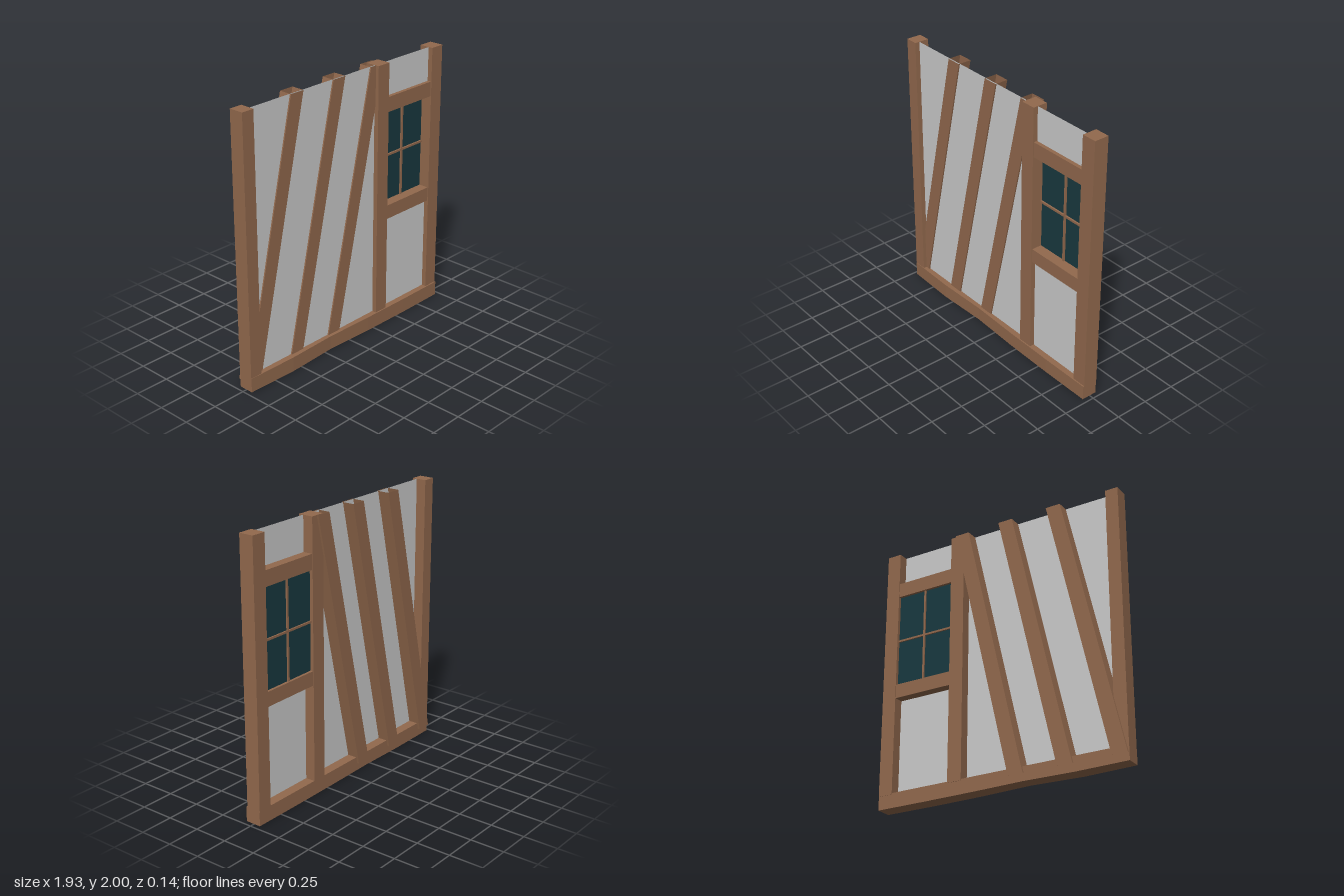
import * as THREE from 'three';

const wood = new THREE.MeshStandardMaterial({ color: 0x92694d, flatShading: true });
const woodOpen = new THREE.MeshStandardMaterial({ color: 0x92694d, flatShading: true, side: THREE.DoubleSide });
const plaster = new THREE.MeshStandardMaterial({ color: 0xcccccc, side: THREE.DoubleSide });
const glass = new THREE.MeshStandardMaterial({ color: 0x193940, side: THREE.DoubleSide });

export function createModel() {
  const group = new THREE.Group();

  const add = (name, geometry, material) => {
    const mesh = new THREE.Mesh(geometry, material);
    mesh.name = name;
    group.add(mesh);
    return mesh;
  };

  // Beam given by its extents on each axis
  const beam = (name, x0, x1, y0, y1, z0, z1) =>
    add(name, new THREE.BoxGeometry(x1 - x0, y1 - y0, z1 - z0), wood)
      .position.set((x0 + x1) / 2, (y0 + y1) / 2, (z0 + z1) / 2);

  // Flat sheet facing the front
  const sheet = (name, x0, x1, y0, y1, z, material) =>
    add(name, new THREE.PlaneGeometry(x1 - x0, y1 - y0), material)
      .position.set((x0 + x1) / 2, (y0 + y1) / 2, z);

  // Upright posts
  beam('leftEndPost', -0.97, -0.875, 0.1, 2, -0.055, 0.055);
  beam('middlePost', 0.285, 0.395, 0.1, 2, -0.055, 0.055);
  beam('rightEndPost', 0.855, 0.965, 0.1, 2, -0.055, 0.055);

  // Ground sill with a slightly uneven, hand-hewn front and underside
  const sillGeometry = new THREE.BoxGeometry(1.935, 0.105, 0.11, 5, 1, 1);
  const p = sillGeometry.attributes.position;
  const bow = [0.0, 0.008, -0.004, 0.006, 0.009, 0.007];
  for (let i = 0; i < p.count; i++) {
    const k = Math.round((p.getX(i) / 1.935 + 0.5) * 5);
    if (p.getZ(i) > 0) p.setZ(i, p.getZ(i) + bow[k]);
    if (p.getY(i) < 0) p.setY(i, p.getY(i) - bow[k] * 0.5);
  }
  add('sill', sillGeometry, wood).position.set(-0.0025, 0.0575, 0.002);

  // Window rails
  beam('upperRail', 0.39, 0.86, 1.64, 1.75, -0.05, 0.048);
  beam('lowerRail', 0.39, 0.86, 0.825, 0.93, -0.05, 0.048);

  // Slanted braces: hollow square tubes with level-cut open ends
  const y0 = 0.06, y1 = 2, lean = 0.2275;
  for (const topX of [-0.468, -0.075, 0.293]) {
    const g = new THREE.CylinderGeometry(Math.SQRT1_2, Math.SQRT1_2, y1 - y0, 4, 1, true);
    g.rotateY(Math.PI / 4);
    g.scale(0.113, 1, 0.1);
    g.applyMatrix4(new THREE.Matrix4().set(
      1, lean, 0, 0,
      0, 1, 0, 0,
      0, 0, 1, 0,
      0, 0, 0, 1));
    add('brace', g, woodOpen)
      .position.set(topX - lean * (y1 - y0) / 2, (y0 + y1) / 2, -0.02);
  }

  // Infill panels around the window
  sheet('wideInfill', -0.88, 0.29, 0.1, 2, 0.02, plaster);
  sheet('infillAboveWindow', 0.39, 0.86, 1.74, 2, 0.02, plaster);
  sheet('infillBelowWindow', 0.39, 0.86, 0.1, 0.83, 0.02, plaster);

  // Window pane and glazing bars
  sheet('windowGlass', 0.39, 0.86, 0.925, 1.645, -0.03, glass);
  beam('verticalGlazingBar', 0.623, 0.638, 0.925, 1.645, -0.04, -0.018);
  beam('horizontalGlazingBar', 0.39, 0.86, 1.272, 1.287, -0.04, -0.018);

  return group;
}
